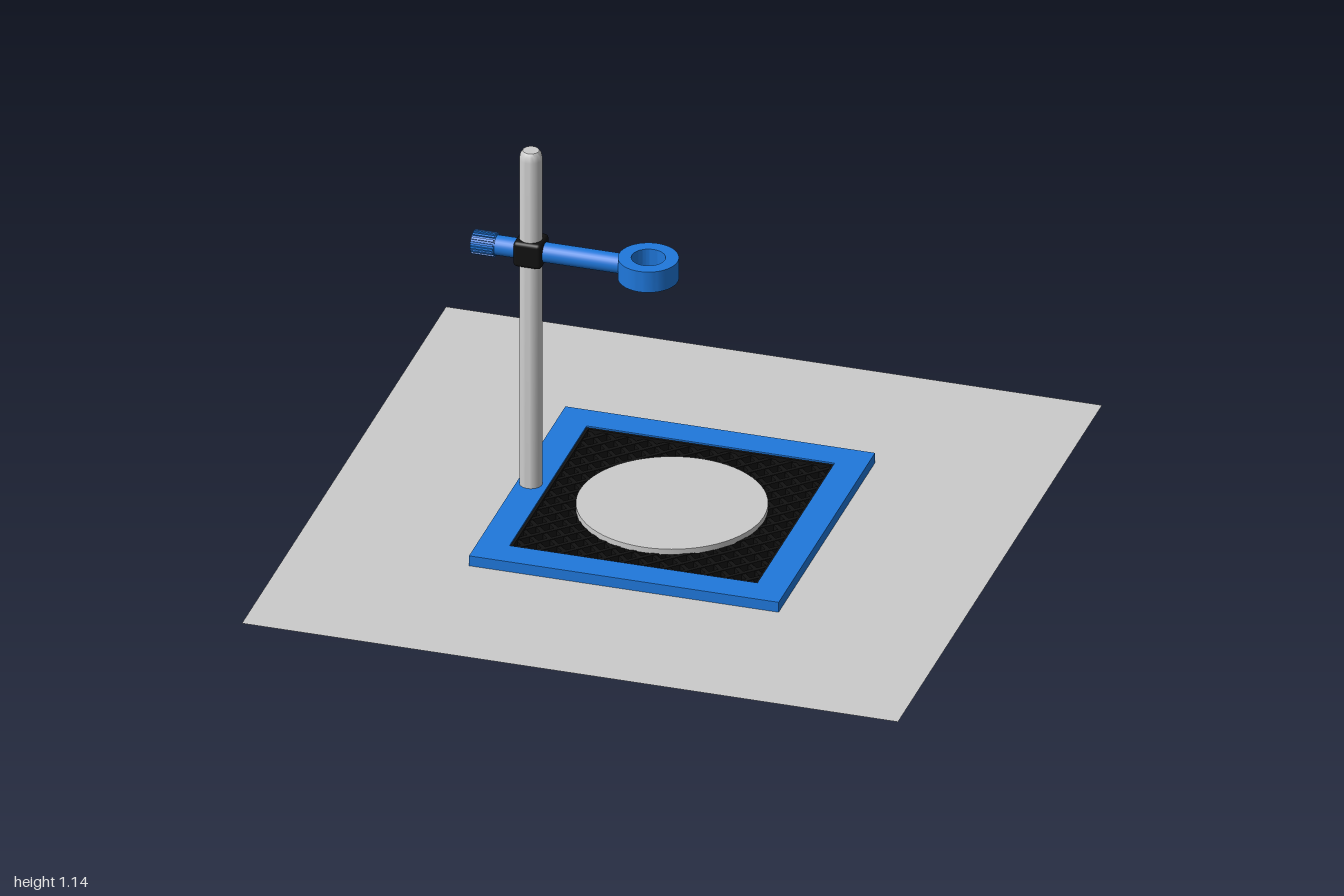
import * as THREE from 'three';
import { RoundedBoxGeometry } from 'three/addons/geometries/RoundedBoxGeometry.js';
import { toCreasedNormals } from 'three/addons/utils/BufferGeometryUtils.js';

export function createModel() {
  const model = new THREE.Group();
  const grey = new THREE.MeshStandardMaterial({ color: 0xcccccc });
  const sheet = new THREE.MeshStandardMaterial({ color: 0xcccccc, side: THREE.DoubleSide });
  const blue = new THREE.MeshStandardMaterial({ color: 0x1f78dc });
  const black = new THREE.MeshStandardMaterial({ color: 0x111111 });

  const add = (name, geometry, material, x = 0, y = 0, z = 0, parent = model) => {
    const mesh = new THREE.Mesh(geometry, material);
    mesh.name = name;
    mesh.position.set(x, y, z);
    parent.add(mesh);
    return mesh;
  };
  const square = (Type, h) => new Type([[-h, -h], [h, -h], [h, h], [-h, h]].map(p => new THREE.Vector2(...p)));
  // Extrude a plan shape upwards, starting at y = 0
  const slab = (shape, depth) => new THREE.ExtrudeGeometry(shape, { depth, bevelEnabled: false, curveSegments: 32 })
    .rotateX(-Math.PI / 2);

  // Ground sheet
  add('groundSheet', new THREE.PlaneGeometry(2, 2).rotateX(-Math.PI / 2), sheet, 0, 0.002, 0);

  // Square base frame
  const frame = square(THREE.Shape, 0.472);
  frame.holes.push(square(THREE.Path, 0.378));
  add('baseFrame', slab(frame, 0.035), blue);

  // Black rim just inside the frame
  const rim = square(THREE.Shape, 0.378);
  rim.holes.push(square(THREE.Path, 0.37));
  add('meshRim', slab(rim, 0.03), black);

  // Diagonal wire mesh, each wire clipped to the square opening
  const wireMesh = new THREE.Group();
  wireMesh.name = 'wireMesh';
  model.add(wireMesh);
  const half = 0.374, pitch = 0.0625;
  for (const dir of [1, -1]) {
    for (let i = -11; i <= 11; i++) {
      const c = i * pitch;                       // wire follows z = dir * x + c
      const length = (2 * half - Math.abs(c)) * Math.SQRT2;
      if (length < 0.03) continue;
      const wire = add('wire', new THREE.BoxGeometry(length, 0.022, 0.013), black,
        -dir * c / 2, dir > 0 ? 0.011 : 0.013, c / 2, wireMesh);
      wire.rotation.y = -dir * Math.PI / 4;
    }
  }

  // Round plate resting on the mesh
  add('roundPlate', new THREE.CylinderGeometry(0.28, 0.28, 0.018, 64), grey, 0, 0.031, 0);

  // Upright rod with a chamfered tip
  const rodProfile = [[0, 0.01], [0.034, 0.01], [0.034, 1.115], [0.031, 1.132], [0.024, 1.142], [0, 1.142]]
    .map(p => new THREE.Vector2(...p));
  add('rod', toCreasedNormals(new THREE.LatheGeometry(rodProfile, 32), 0.6), grey, -0.43, 0, 0);

  // Clamp arm assembly at one height
  const clamp = new THREE.Group();
  clamp.name = 'clamp';
  clamp.position.y = 0.81;
  model.add(clamp);

  // Clamp block, open around the rod
  add('clampBlock', new RoundedBoxGeometry(0.086, 0.082, 0.086, 3, 0.012), black, -0.43, 0, 0, clamp);

  // Arm from knob to ring
  const arm = new THREE.CylinderGeometry(0.03, 0.03, 0.41, 32).rotateZ(Math.PI / 2);
  add('arm', arm, blue, -0.345, 0, 0, clamp);

  // Ribbed knob
  add('knob', new THREE.CylinderGeometry(0.033, 0.033, 0.072, 32).rotateZ(Math.PI / 2), blue, -0.57, 0, 0, clamp);
  const ribs = 16;
  for (let i = 0; i < ribs; i++) {
    const a = i / ribs * Math.PI * 2;
    const rib = add('knobRib', new THREE.BoxGeometry(0.068, 0.008, 0.007), blue,
      -0.57, Math.cos(a) * 0.033, Math.sin(a) * 0.033, clamp);
    rib.rotation.x = a;
  }

  // Holding ring
  const ringShape = new THREE.Shape().absarc(0, 0, 0.089, 0, Math.PI * 2);
  ringShape.holes.push(new THREE.Path().absarc(0, 0, 0.05, 0, Math.PI * 2, true));
  add('holdingRing', toCreasedNormals(slab(ringShape, 0.068), 0.6), blue, -0.072, -0.034, 0, clamp);

  return model;
}
